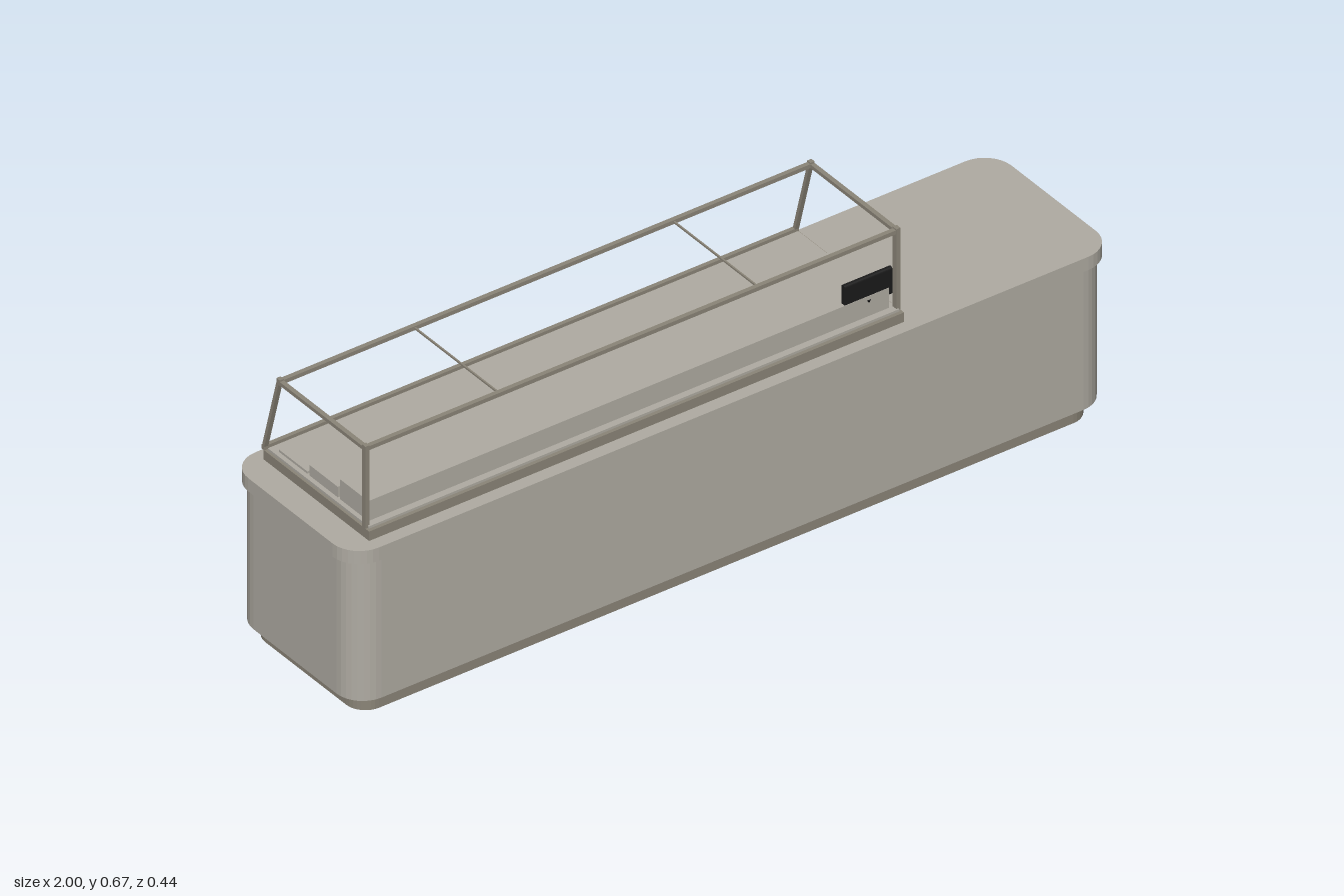
import * as THREE from 'three';

const mat = (name, color) => {
  const m = new THREE.MeshStandardMaterial({ color });
  m.name = name;
  return m;
};

export function createModel() {
  const model = new THREE.Group();
  model.name = 'displayCounter';
  const stone = mat('warm grey laminate', 0xb0aca3);
  const metal = mat('dark grey trim', 0x8b8578);
  const black = mat('black plastic', 0x1b1b1b);
  const glass = mat('screen grey', 0x85857a);

  const add = (name, geo, material, parent = model) => {
    const m = new THREE.Mesh(geo, material);
    m.name = name;
    parent.add(m);
    return m;
  };
  // Box given by its limits on each axis
  const box = (name, [x0, x1], [y0, y1], [z0, z1], material, parent) => {
    const m = add(name, new THREE.BoxGeometry(x1 - x0, y1 - y0, z1 - z0), material, parent);
    m.position.set((x0 + x1) / 2, (y0 + y1) / 2, (z0 + z1) / 2);
    return m;
  };
  // Upright slab with rounded corners in plan, base at y = 0
  const slab = (w, d, h, r) => {
    const a = w / 2 - r, b = d / 2 - r, s = new THREE.Shape();
    s.absarc(a, b, r, 0, Math.PI / 2);
    s.absarc(-a, b, r, Math.PI / 2, Math.PI);
    s.absarc(-a, -b, r, Math.PI, Math.PI * 1.5);
    s.absarc(a, -b, r, Math.PI * 1.5, Math.PI * 2);
    return new THREE.ExtrudeGeometry(s, { depth: h, bevelEnabled: false, curveSegments: 4 })
      .rotateX(-Math.PI / 2);
  };

  // Counter
  add('plinth', slab(1.92, 0.392, 0.043, 0.05), metal);
  add('counterBody', slab(1.976, 0.436, 0.358, 0.068), stone).position.y = 0.042;
  add('counterTop', slab(2, 0.444, 0.034, 0.07), stone).position.y = 0.399;

  // Rear sliding doors: rails and seams
  const doors = new THREE.Group();
  doors.name = 'rearDoors';
  model.add(doors);
  box('upperDoorRail', [-0.917, 0.917], [0.367, 0.374], [-0.222, -0.216], metal, doors);
  box('lowerDoorRail', [-0.917, 0.917], [0.049, 0.056], [-0.222, -0.216], metal, doors);
  for (const x of [-0.647, -0.216, 0.216, 0.647])
    box('doorSeam', [x - 0.004, x + 0.004], [0.056, 0.367], [-0.2195, -0.216], metal, doors);

  // Display base, tray and stepped shelves
  const X0 = -0.932, X1 = 0.47;
  box('displayBase', [X0, X1], [0.433, 0.457], [-0.19, 0.19], metal);
  box('displayTray', [X0 + 0.006, X1 - 0.006], [0.457, 0.463], [-0.183, 0.181], stone);
  [[0.062, 0.164, 0.514], [-0.048, 0.054, 0.49], [-0.158, -0.056, 0.469]].forEach(([z0, z1, top]) =>
    box('shelfStep', [-0.915, 0.45], [0.463, top], [z0, z1], stone));

  // Open frame
  const frame = new THREE.Group();
  frame.name = 'displayFrame';
  model.add(frame);
  const t = 0.011;
  box('frontTopRail', [X0, X1], [0.654, 0.664], [0.165, 0.176], metal, frame);
  box('rearTopRail', [X0, X1], [0.654, 0.664], [-0.143, -0.132], metal, frame);
  box('rearBottomRail', [X0, X1], [0.457, 0.467], [-0.198, -0.188], metal, frame);
  for (const x of [X0, X1 - t]) {
    const span = [x, x + t];
    box('frontPost', span, [0.457, 0.667], [0.164, 0.177], metal, frame);
    box('sideTopRail', span, [0.654, 0.663], [-0.135, 0.166], metal, frame);
    box('rearTopJoint', span, [0.653, 0.667], [-0.144, -0.132], metal, frame);
    // Sloping rear post
    const dy = 0.198, dz = 0.054;
    const post = add('rearPost', new THREE.BoxGeometry(t, Math.hypot(dy, dz), 0.008), metal, frame);
    post.position.set(x + t / 2, 0.561, -0.166);
    post.rotation.x = Math.atan2(dz, dy);
  }
  for (const x of [-0.577, 0.102])
    box('crossRod', [x - 0.002, x + 0.002], [0.657, 0.661], [-0.135, 0.166], metal, frame);

  // Small screen facing the rear
  const screen = new THREE.Group();
  screen.name = 'controlScreen';
  model.add(screen);
  add('screenCase', slab(0.07, 0.012, 0.125, 0.0055).rotateZ(Math.PI / 2), black, screen)
    .position.set(0.459, 0.528, 0.157);
  box('screenFace', [0.341, 0.453], [0.501, 0.556], [0.1502, 0.152], glass, screen);
  const foot = add('screenFoot', new THREE.ConeGeometry(0.012, 0.018, 4), black, screen);
  foot.rotation.x = Math.PI;
  foot.position.set(0.397, 0.495, 0.157);

  return model;
}
